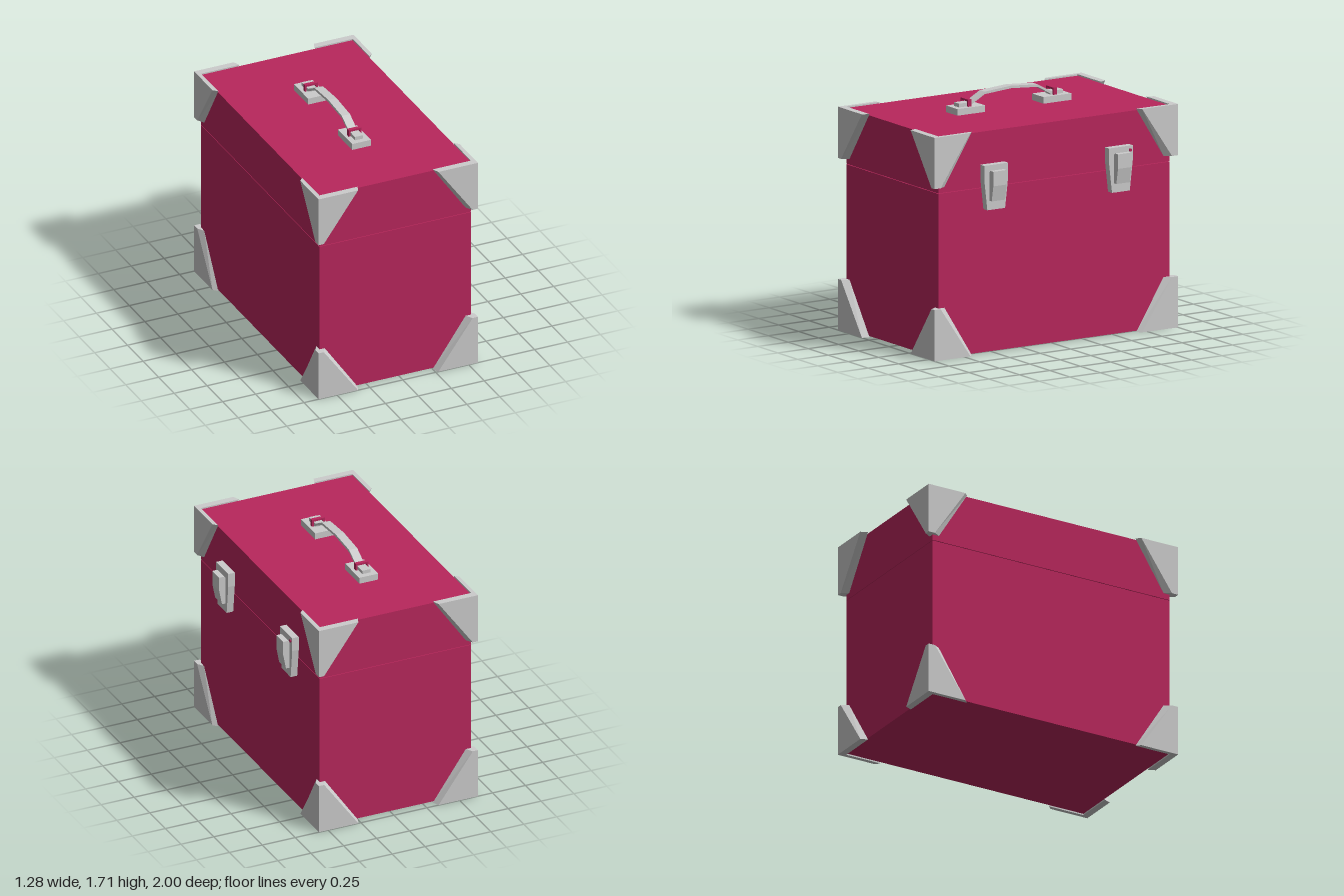
import * as THREE from 'three';

const grey = new THREE.MeshStandardMaterial({ color: 0xcccccc, flatShading: true });
const red = new THREE.MeshStandardMaterial({ color: 0xb8275c, flatShading: true });
const CX = -0.035, CY = 0.785; // centre of the case

function add(parent, name, geometry, material) {
  const mesh = new THREE.Mesh(geometry, material);
  mesh.name = name;
  parent.add(mesh);
  return mesh;
}

// Box given by its limits on each axis
function block(parent, name, material, x0, x1, y0, y1, z0, z1) {
  const g = new THREE.BoxGeometry(x1 - x0, y1 - y0, z1 - z0);
  g.translate((x0 + x1) / 2, (y0 + y1) / 2, (z0 + z1) / 2);
  return add(parent, name, g, material);
}

function shapeOf(points) {
  return new THREE.Shape(points.map(([x, y]) => new THREE.Vector2(x, y)));
}

function extrude(shape, depth) {
  return new THREE.ExtrudeGeometry(shape, { depth, bevelEnabled: false });
}

// Tapered corner plate: a box whose far side slopes toward the case edge.
// axis is the horizontal direction the plate runs along ('x' or 'z').
function cornerPlate(axis, sx, sy, sz) {
  const g = new THREE.BoxGeometry(1, 1, 1);
  const p = g.attributes.position;
  for (let i = 0; i < p.count; i++) {
    const ox = p.getX(i) * sx > 0, oy = p.getY(i) * sy > 0, oz = p.getZ(i) * sz > 0;
    let x = ox ? 0.605 : 0.575, z = oz ? 1 : 0.95;
    if (axis === 'x' && !ox) x = oy ? (oz ? 0.305 : 0.285) : (oz ? 0.565 : 0.535);
    if (axis === 'z' && !oz) z = oy ? (ox ? 0.705 : 0.675) : (ox ? 0.95 : 0.9);
    p.setXYZ(i, CX + sx * x, CY + sy * (oy ? 0.785 : 0.425), sz * z);
  }
  g.computeVertexNormals();
  return g;
}

function makeLatch(z, hasRivet) {
  const latch = new THREE.Group();
  latch.name = 'latch';
  // Backing plate, tapering downward
  const plate = extrude(shapeOf([[-0.073, 1.015], [0.073, 1.015], [0.098, 1.23],
    [0.098, 1.33], [-0.098, 1.33], [-0.098, 1.23]]), 0.05);
  plate.rotateY(Math.PI / 2).translate(0.54, 0, 0);
  add(latch, 'latchPlate', plate, grey);
  // Wedge-shaped lever
  const lever = extrude(shapeOf([[0.58, 1.08], [0.617, 1.08], [0.638, 1.19],
    [0.638, 1.292], [0.6, 1.292], [0.58, 1.27]]), 0.11);
  add(latch, 'latchLever', lever.translate(0, 0, -0.055), grey);
  if (hasRivet) {
    const rivet = new THREE.CylinderGeometry(0.011, 0.011, 0.02, 12);
    rivet.rotateZ(Math.PI / 2).translate(0.588, 1.3, -0.075);
    add(latch, 'latchRivet', rivet, red);
  }
  latch.position.z = z;
  return latch;
}

function makeHandle() {
  const handle = new THREE.Group();
  handle.name = 'handle';
  for (const s of [-1, 1]) {
    const zs = (a, b) => [Math.min(s * a, s * b), Math.max(s * a, s * b)];
    block(handle, 'handleBase', grey, -0.125, 0.018, 1.55, 1.606, ...zs(0.24, 0.468));
    block(handle, 'handleEnd', grey, -0.085, -0.023, 1.6, 1.632, ...zs(0.325, 0.428));
    // Red loop holding the strap
    const loop = extrude(shapeOf([[-0.102, 1.6], [-0.09, 1.6], [-0.09, 1.642], [-0.018, 1.642],
      [-0.018, 1.6], [-0.005, 1.6], [-0.005, 1.656], [-0.102, 1.656]]), 0.027);
    add(handle, 'handleLoop', loop.translate(0, 0, s * 0.351 - 0.0135), red);
  }
  // Faceted arched strap, drawn in (-z, y) and extruded across x
  const top = [[-0.35, 1.632], [-0.325, 1.632], [-0.217, 1.692], [0, 1.708],
    [0.217, 1.692], [0.325, 1.632], [0.35, 1.632]];
  const under = top.map(([a, b]) => [a, b - 0.018]).reverse();
  const strap = extrude(shapeOf([...under, ...top]), 0.062);
  add(handle, 'handleStrap', strap.rotateY(Math.PI / 2).translate(-0.085, 0, 0), grey);
  handle.position.z = -0.0175;
  return handle;
}

export function createModel() {
  const model = new THREE.Group();
  model.name = 'case';

  // Case body and lid with a hairline seam between them
  block(model, 'caseBody', red, -0.61, 0.54, 0.01, 1.165, -0.95, 0.95);
  block(model, 'caseLid', red, -0.61, 0.54, 1.169, 1.56, -0.95, 0.95);

  // Eight corner guards, each of two plates
  for (const sx of [-1, 1]) for (const sy of [-1, 1]) for (const sz of [-1, 1]) {
    const guard = new THREE.Group();
    guard.name = 'cornerGuard';
    add(guard, 'guardEndPlate', cornerPlate('x', sx, sy, sz), grey);
    add(guard, 'guardSidePlate', cornerPlate('z', sx, sy, sz), grey);
    model.add(guard);
  }

  model.add(makeLatch(0.507, false), makeLatch(-0.517, true), makeHandle());
  return model;
}
